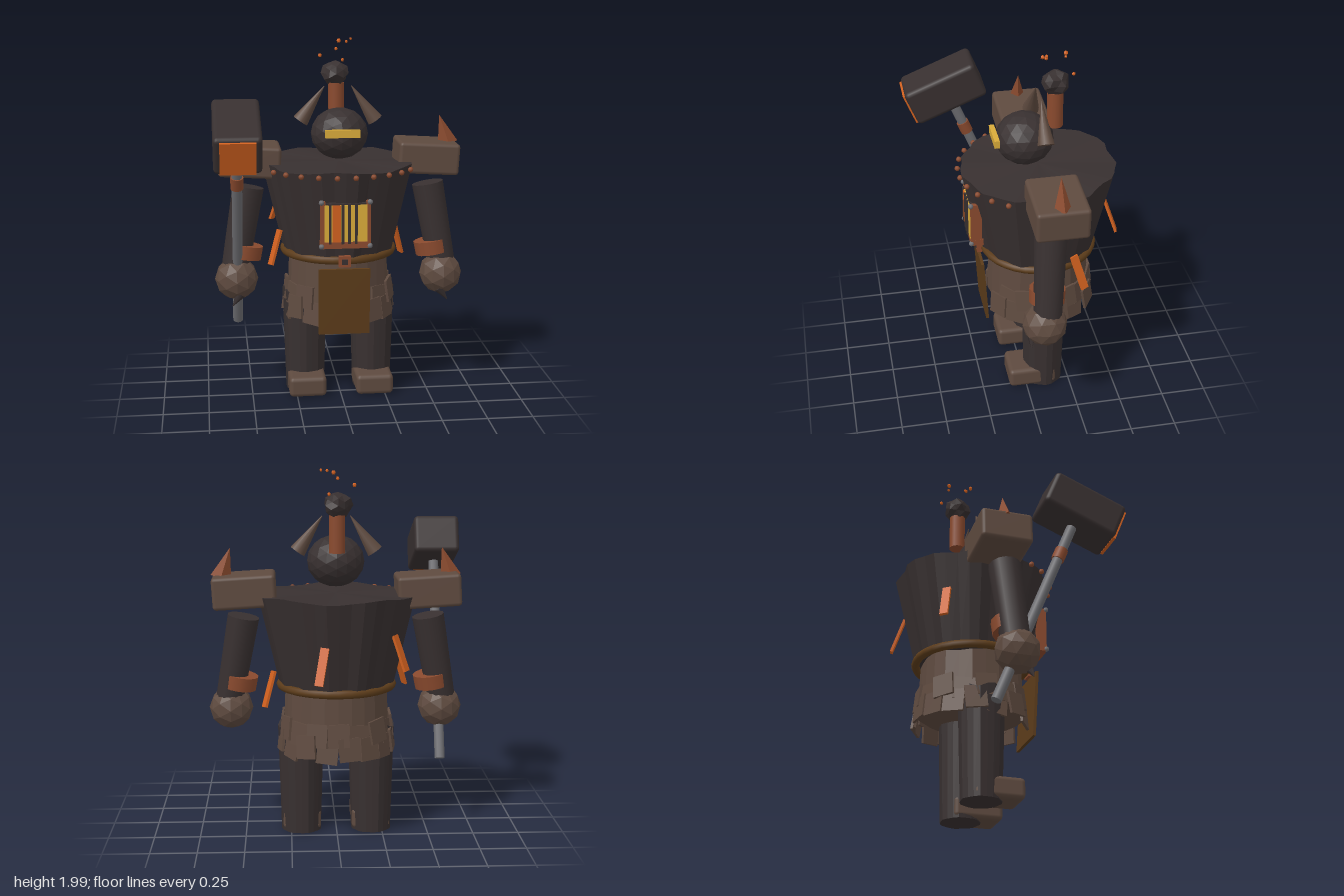
import * as THREE from 'three';
import { RoundedBoxGeometry } from 'three/addons/geometries/RoundedBoxGeometry.js';

const paint = (name, color) => {
  const m = new THREE.MeshStandardMaterial({ color });
  m.name = name;
  return m;
};

export function createModel() {
  const iron = paint('dark iron', 0x383030);
  const hide = paint('brown hide', 0x5e4a3f);
  const rust = paint('rust', 0x8a4a2e);
  const ember = paint('ember orange', 0xd0601f);
  const glow = paint('glowing yellow', 0xd8aa3a);
  const leather = paint('tan leather', 0x5c3c1a);
  const steel = paint('grey steel', 0x6c6c70);

  const model = new THREE.Group();
  const bodyZ = -0.11; // axis of torso, waist and legs

  const add = (name, geo, mat, x = 0, y = 0, z = 0, parent = model) => {
    const mesh = new THREE.Mesh(geo, mat);
    mesh.name = name;
    mesh.position.set(x, y, z);
    parent.add(mesh);
    return mesh;
  };
  const flat = (geo) => {
    const g = geo.index ? geo.toNonIndexed() : geo;
    g.computeVertexNormals();
    return g;
  };
  const box = (w, h, d) => new THREE.BoxGeometry(w, h, d);
  const ball = (r, detail = 1) => flat(new THREE.IcosahedronGeometry(r, detail));

  // Cylinder whose wall is dented into irregular vertical folds
  const folded = (rTop, rBottom, h, sides, amount) => {
    const g = new THREE.CylinderGeometry(rTop, rBottom, h, sides, 1);
    const p = g.attributes.position;
    for (let i = 0; i < p.count; i++) {
      const x = p.getX(i), y = p.getY(i), z = p.getZ(i);
      const a = Math.atan2(x, z);
      const k = 1 + amount * (0.6 * Math.sin(13 * a) + 0.4 * Math.sin(7 * a + 1));
      const rim = Math.hypot(x, z) > 0.01 && y > 0 ? amount * 0.25 * Math.sin(5 * a + 2) : 0;
      p.setXYZ(i, x * k, y + rim, z * k);
    }
    return flat(g);
  };
  // Cylinder or cone laid between two points
  const between = (name, a, b, rStart, rEnd, mat, sides = 12) => {
    const s = new THREE.Vector3(...a), e = new THREE.Vector3(...b);
    const dir = e.clone().sub(s);
    const mesh = add(name, new THREE.CylinderGeometry(rEnd, rStart, dir.length(), sides), mat);
    mesh.position.copy(s).add(e).multiplyScalar(0.5);
    mesh.quaternion.setFromUnitVectors(new THREE.Vector3(0, 1, 0), dir.normalize());
    return mesh;
  };
  // Plate standing on a ring round the body, facing outward
  const ringPlate = (name, geo, mat, angle, y, r, pitch = 0, roll = 0) => {
    const m = add(name, geo, mat, Math.sin(angle) * r, y, bodyZ + Math.cos(angle) * r);
    m.rotation.set(pitch, angle, roll, 'YXZ');
    return m;
  };

  // Torso, belt and waist
  add('torso', folded(0.42, 0.305, 0.5, 40, 0.035), iron, 0, 1.08, bodyZ);
  const belt = add('belt', new THREE.TorusGeometry(0.305, 0.023, 8, 32), leather, 0, 0.832, bodyZ);
  belt.rotation.x = Math.PI / 2;
  add('waist', folded(0.275, 0.285, 0.28, 24, 0.03), hide, 0, 0.68, bodyZ);
  add('buckle', box(0.065, 0.06, 0.03), rust, 0, 0.835, 0.222);
  add('buckleCentre', box(0.03, 0.028, 0.008), iron, 0, 0.835, 0.239);

  // Rivets round the front rim
  for (let i = 0; i < 10; i++) {
    const a = THREE.MathUtils.degToRad(-58.5 + 13 * i);
    add('rimRivet', new THREE.SphereGeometry(0.015, 8, 6), rust,
      Math.sin(a) * 0.437, 1.312, bodyZ + Math.cos(a) * 0.437);
  }

  // Furnace grate in the chest
  add('grateBacking', box(0.25, 0.22, 0.16), iron, 0, 1.06, 0.2);
  add('grateGlow', box(0.23, 0.2, 0.008), glow, 0, 1.06, 0.283);
  add('grateFlame', box(0.045, 0.2, 0.008), ember, -0.05, 1.06, 0.289);
  for (const x of [-0.085, -0.017, 0.018, 0.055])
    add('grateBar', box(0.014, 0.22, 0.014), iron, x, 1.06, 0.289);
  add('grateSill', box(0.27, 0.035, 0.07), rust, 0, 0.94, 0.25);
  for (const s of [-1, 1]) {
    add('grateSide', box(0.024, 0.25, 0.06), rust, s * 0.122, 1.055, 0.253);
    for (const y of [0.935, 1.175])
      add('grateRivet', new THREE.SphereGeometry(0.015, 8, 6), steel, s * 0.13, y, 0.282);
  }

  // Glowing strips hanging off the torso
  const strips = [[-0.365, 0.16, 0.88, 0.1], [0.365, -0.16, 0.835, 0.15],
    [0.09, -0.395, 1.0, -0.1], [-0.33, -0.24, 1.04, 0.05]];
  for (const [x, z, y, roll] of strips)
    ringPlate('emberStrip', box(0.045, 0.2, 0.014), ember, Math.atan2(x, z), y,
      Math.hypot(x, z), -0.35, roll);

  // Ragged skirt in two overlapping rows, and the front apron
  for (let row = 0; row < 2; row++)
    for (let i = 0; i < 16; i++) {
      const a = ((i + row * 0.5) / 16) * Math.PI * 2;
      if (Math.cos(a) > 0.9) continue;
      const wobble = Math.sin(i * 2.7 + row * 4);
      ringPlate('skirtPlate', box(0.115, 0.125, 0.014), hide, a, 0.6 - row * 0.075 + wobble * 0.012,
        0.292 + row * 0.008 + 0.008 * wobble, -0.12, wobble * 0.12);
    }
  add('apron', box(0.28, 0.375, 0.016), leather, 0, 0.605, 0.212).rotation.x = -0.06 + 0.12;

  // Limbs and shoulder armour, mirrored
  for (const s of [-1, 1]) {
    add('leg', folded(0.125, 0.108, 0.6, 20, 0.06), iron, s * 0.193, 0.305, bodyZ);
    add('foot', new RoundedBoxGeometry(0.21, 0.115, 0.27, 2, 0.025), hide, s * 0.19, 0.0675, -0.035);

    between('arm', [s * 0.585, 0.74, -0.05], [s * 0.503, 1.2, -0.078], 0.077, 0.088, iron, 14);
    between('wristBand', [s * 0.535, 0.8, -0.055], [s * 0.522, 0.875, -0.06], 0.096, 0.098, rust, 14);
    add('hand', ball(0.121), hide, s * 0.578, 0.685, -0.037);
    between('thumbSpike', [s * 0.56, 0.61, 0.03], [s * 0.605, 0.545, 0.04], 0.028, 0.002, iron, 6);

    const pad = add('shoulderPad', new RoundedBoxGeometry(0.34, 0.175, 0.28, 2, 0.02), hide,
      s * 0.495, 1.35, -0.11);
    pad.rotation.z = -0.06;
    const spike = add('shoulderSpike', flat(new THREE.ConeGeometry(0.058, 0.17, 4)), rust,
      s * 0.595, 1.495, -0.11);
    spike.rotation.z = s * 0.3;
    spike.scale.z = 0.8;

    between('horn', [s * 0.208, 1.555, -0.11], [s * 0.075, 1.745, -0.11], 0.046, 0.002, hide, 10);
  }

  // Head with glowing eye slit
  add('head', ball(0.158, 2), iron, 0, 1.495, -0.035).scale.y = 0.9;
  add('eyeSlit', box(0.187, 0.042, 0.028), glow, 0, 1.517, 0.127);

  // Chimney, smoke and sparks
  add('chimney', new THREE.CylinderGeometry(0.044, 0.044, 0.2, 14), rust, 0, 1.655, -0.2);
  const smoke = add('smoke', ball(0.073, 1), iron, -0.005, 1.808, -0.2);
  const sp = smoke.geometry.attributes.position;
  for (let i = 0; i < sp.count; i++) {
    const x = sp.getX(i), y = sp.getY(i), z = sp.getZ(i);
    const k = 1 + 0.13 * Math.sin(70 * x + 40 * y + 90 * z);
    sp.setXYZ(i, x * k, y * k * 0.92, z * k);
  }
  smoke.geometry.computeVertexNormals();
  const sparks = [[-0.095, 1.91, -0.15, 0.012], [-0.006, 1.945, -0.15, 0.01], [0.02, 1.98, -0.247, 0.013],
    [0.05, 1.985, -0.14, 0.009], [0.085, 1.992, -0.232, 0.008], [0.045, 1.87, -0.285, 0.01]];
  for (const [x, y, z, r] of sparks) add('spark', ball(r, 0), ember, x, y, z);

  // Hammer held in the right hand, leaning forward
  const hammer = new THREE.Group();
  hammer.name = 'hammer';
  hammer.position.set(-0.572, 0.685, -0.035);
  hammer.rotation.x = 0.385;
  model.add(hammer);
  add('handle', new THREE.CylinderGeometry(0.028, 0.028, 1.2, 12), steel, 0, 0.3, 0, hammer);
  add('handleWrap', new THREE.CylinderGeometry(0.035, 0.035, 0.07, 12), rust, 0, 0.64, 0, hammer);
  add('hammerHead', new RoundedBoxGeometry(0.25, 0.21, 0.425, 2, 0.025), iron, 0, 0.935, 0.005, hammer);
  add('strikingFace', box(0.185, 0.185, 0.016), ember, 0, 0.93, 0.22, hammer);

  return model;
}
